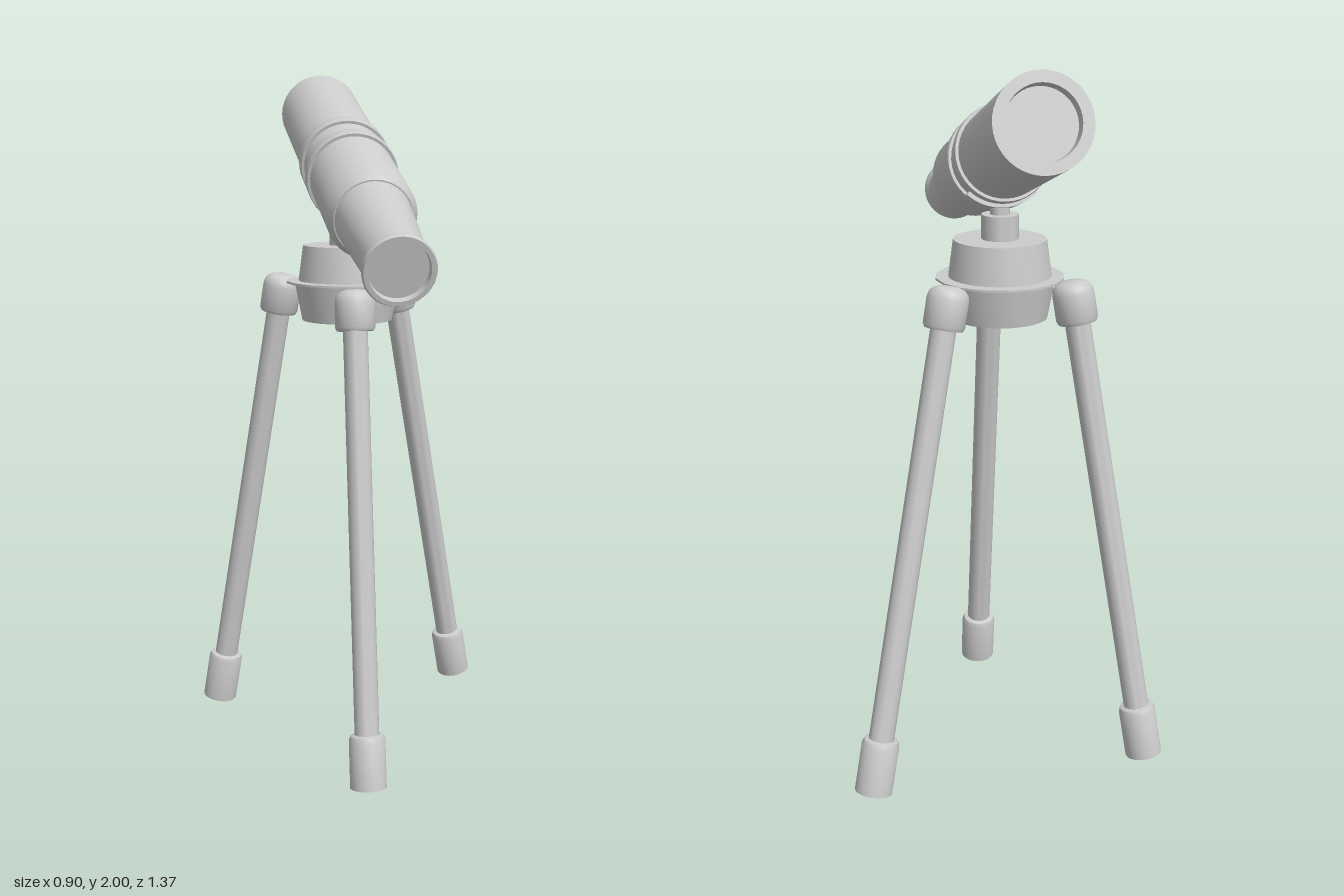
import * as THREE from 'three';
import { toCreasedNormals } from 'three/addons/utils/BufferGeometryUtils.js';

const material = new THREE.MeshStandardMaterial({ color: 0xcccccc });
const UP = new THREE.Vector3(0, 1, 0);

function addPart(parent, name, geometry) {
  const mesh = new THREE.Mesh(toCreasedNormals(geometry, 0.6), material);
  mesh.name = name;
  parent.add(mesh);
  return mesh;
}

// Profile points are [radius, height], listed from bottom to top
function turned(points, segments = 32) {
  return new THREE.LatheGeometry(points.map(([r, y]) => new THREE.Vector2(r, y)), segments);
}

// One leg: its group's y axis runs from the foot up to the cap
function makeLeg(name, foot, top) {
  const leg = new THREE.Group();
  leg.name = name;
  const a = new THREE.Vector3(...foot);
  const axis = new THREE.Vector3(...top).sub(a);
  const L = axis.length();
  leg.position.copy(a);
  leg.quaternion.setFromUnitVectors(UP, axis.normalize());

  addPart(leg, 'legFoot', turned([[0, 0], [0.052, 0], [0.052, 0.135], [0.047, 0.148], [0.034, 0.152]], 24));
  const pole = addPart(leg, 'legPole', new THREE.CylinderGeometry(0.035, 0.035, L - 0.17, 24, 1, true));
  pole.position.y = 0.1 + (L - 0.17) / 2;
  addPart(leg, 'legCap', turned([
    [0.034, L - 0.115], [0.052, L - 0.115], [0.057, L - 0.105], [0.057, L - 0.035],
    [0.053, L - 0.018], [0.042, L - 0.006], [0.025, L], [0, L],
  ], 24));
  return leg;
}

function makeMount() {
  const mount = new THREE.Group();
  mount.name = 'mount';
  mount.position.set(-0.022, 0, -0.125);
  addPart(mount, 'hubLower', turned([[0, 1.287], [0.132, 1.287], [0.153, 1.397], [0, 1.397]]));
  addPart(mount, 'hubFlange', turned([[0, 1.394], [0.178, 1.396], [0.178, 1.402], [0, 1.406]], 16));
  addPart(mount, 'hubUpper', turned([[0.142, 1.4], [0.128, 1.505], [0, 1.505]]));
  addPart(mount, 'swivelPost', turned([[0.051, 1.5], [0.051, 1.572], [0, 1.572]]));
  addPart(mount, 'swivelNeck', turned([[0.027, 1.565], [0.027, 1.625]], 20));
  return mount;
}

// Optical tube along the group's y axis, from eyepiece to objective
function makeTelescope() {
  const tube = new THREE.Group();
  tube.name = 'telescope';
  tube.position.set(-0.022, 1.5, 0.66);
  tube.rotation.x = -1.285;

  addPart(tube, 'eyepieceTube', turned([
    [0, 0.02], [0.076, 0.02], [0.078, 0], [0.09, 0], [0.094, 0.008], [0.093, 0.018],
    [0.085, 0.032], [0.083, 0.045], [0.104, 0.385],
  ], 40));
  addPart(tube, 'mainTube', turned([
    [0.1, 0.372], [0.107, 0.372], [0.122, 0.395], [0.122, 1.365],
    [0.093, 1.365], [0.09, 1.335], [0, 1.335],
  ], 40));

  // Clamp rings
  for (const y of [0.727, 0.852]) {
    addPart(tube, 'clampRing', turned([
      [0.121, y - 0.021], [0.13, y - 0.021], [0.132, y - 0.017],
      [0.132, y + 0.017], [0.13, y + 0.021], [0.121, y + 0.021],
    ], 40));
  }

  // Curved saddle under the tube, between the rings
  const arc = new THREE.Shape();
  const mid = Math.PI / 2, half = 0.75;
  arc.absarc(0, 0, 0.14, mid - half, mid + half, false);
  arc.absarc(0, 0, 0.12, mid + half, mid - half, true);
  arc.closePath();
  const saddle = addPart(tube, 'saddle', new THREE.ExtrudeGeometry(arc, {
    depth: 0.06, bevelEnabled: false, curveSegments: 16,
  }));
  saddle.rotation.x = -Math.PI / 2;
  saddle.position.y = 0.758;
  return tube;
}

export function createModel() {
  const model = new THREE.Group();
  model.name = 'telescopeOnTripod';
  model.add(makeTelescope(), makeMount());
  model.add(makeLeg('frontLeg', [-0.037, 0.015, 0.32], [-0.035, 1.395, 0.077]));
  model.add(makeLeg('backRightLeg', [-0.397, 0.035, -0.4], [-0.192, 1.41, -0.252]));
  model.add(makeLeg('backLeftLeg', [0.396, 0.045, -0.474], [0.138, 1.41, -0.257]));
  return model;
}
